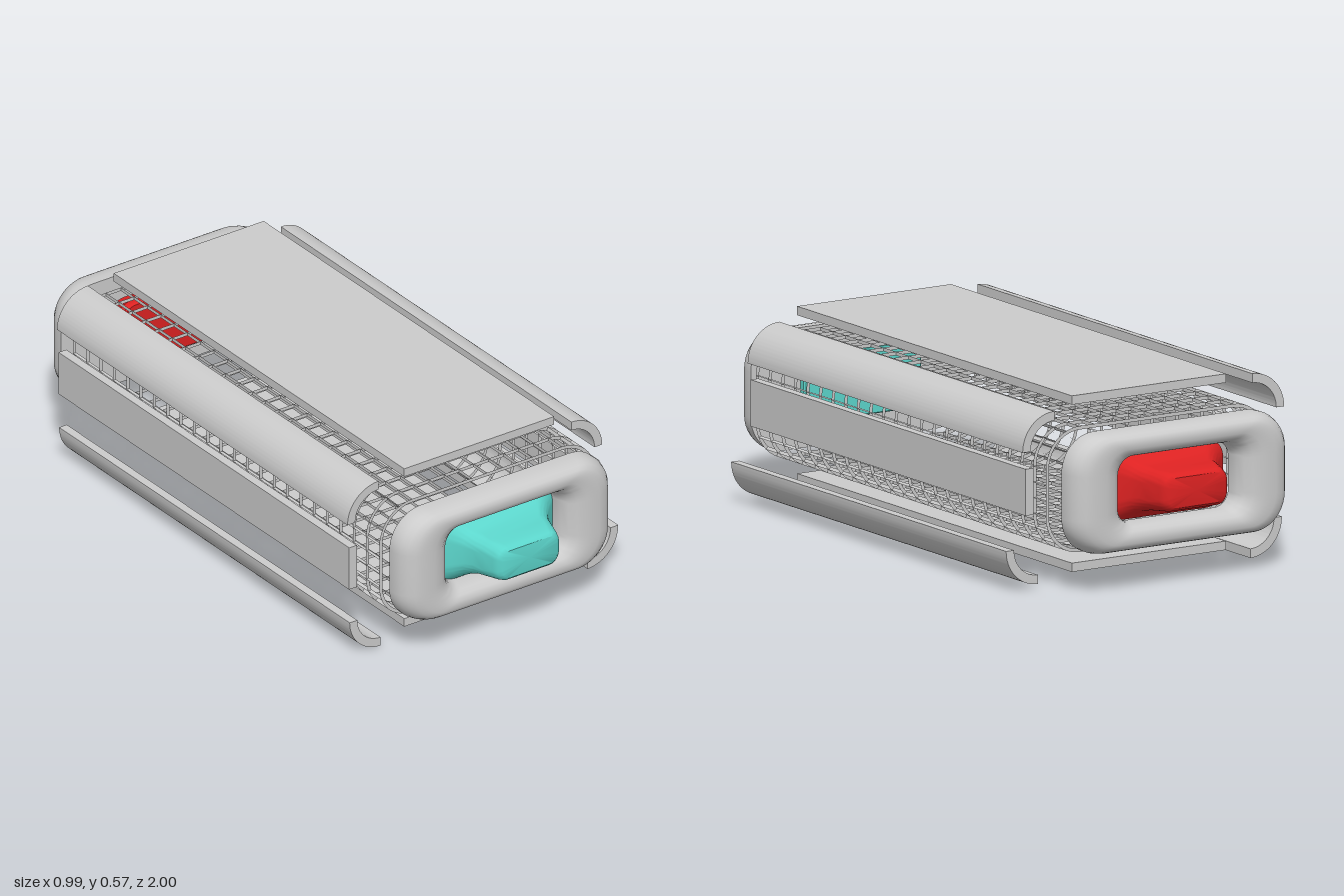
import * as THREE from 'three';
import { mergeGeometries, toCreasedNormals } from 'three/addons/utils/BufferGeometryUtils.js';

const CX = -0.015, CY = 0.303, LENGTH = 1.48;
const grey = new THREE.MeshStandardMaterial({ color: 0xcccccc });
const greyThin = new THREE.MeshStandardMaterial({ color: 0xcccccc, side: THREE.DoubleSide });
const teal = new THREE.MeshStandardMaterial({ color: 0x5cd6cc });
const red = new THREE.MeshStandardMaterial({ color: 0xdd2222 });

// Counter-clockwise rounded rectangle, n segments per corner
function roundedLoop(hx, hy, r, n = 10) {
  const pts = [];
  [[1, 1], [-1, 1], [-1, -1], [1, -1]].forEach(([sx, sy], q) => {
    for (let i = 0; i <= n; i++) {
      const a = (q + i / n) * Math.PI / 2;
      pts.push(new THREE.Vector2(sx * (hx - r) + r * Math.cos(a), sy * (hy - r) + r * Math.sin(a)));
    }
  });
  return pts;
}

// Skin over rounded-rectangle sections [halfX, halfY, radius, z]
function loft(sections) {
  const pos = [], idx = [];
  let m = 0;
  for (const [hx, hy, r, z] of sections) {
    const loop = roundedLoop(hx, hy, r);
    m = loop.length;
    loop.forEach(p => pos.push(p.x, p.y, z));
  }
  for (let j = 0; j < sections.length - 1; j++) {
    for (let i = 0; i < m; i++) {
      const a = j * m + i, b = j * m + (i + 1) % m;
      idx.push(a, b, b + m, a, b + m, a + m);
    }
  }
  const g = new THREE.BufferGeometry();
  g.setAttribute('position', new THREE.Float32BufferAttribute(pos, 3));
  g.setIndex(idx);
  return toCreasedNormals(g, 0.7);
}

// Puffed end frame: profile runs from outer rim (s = 0) to opening (s = 1)
function frameGeometry() {
  const profile = [[0, 0], [0, 0.025], [0.04, 0.047], [0.11, 0.065], [0.21, 0.078], [0.35, 0.084],
    [0.6, 0.084], [0.78, 0.076], [0.9, 0.06], [0.97, 0.04], [1, 0.02], [1, 0], [0, 0]];
  const mix = THREE.MathUtils.lerp;
  return loft(profile.map(([s, z]) => [mix(0.387, 0.208, s), mix(0.184, 0.101, s), mix(0.115, 0.05, s), z]));
}

// Flanged plug flaring down to a blunt knob
function plugGeometry() {
  return loft([[0, 0, 0, 0], [0.205, 0.1, 0.055, 0], [0.21, 0.104, 0.06, 0.005], [0.21, 0.104, 0.06, 0.025],
    [0.203, 0.098, 0.058, 0.033], [0.18, 0.086, 0.05, 0.05], [0.157, 0.073, 0.045, 0.075],
    [0.14, 0.066, 0.042, 0.105], [0.131, 0.063, 0.04, 0.135], [0.119, 0.06, 0.04, 0.175],
    [0.112, 0.055, 0.036, 0.193], [0.1, 0.046, 0.03, 0.202], [0, 0, 0, 0.202]]);
}

// Open lattice of thin hoops and lengthwise fins
function cageGeometry() {
  const HALF = 0.78, HOOPS = 24, parts = [];
  const outer = roundedLoop(0.395, 0.192, 0.12), inner = roundedLoop(0.384, 0.181, 0.109);
  const hoop = new THREE.Shape(outer);
  hoop.holes.push(new THREE.Path(inner));
  const hoopGeo = new THREE.ShapeGeometry(hoop);
  for (let i = 0; i < HOOPS; i++) {
    parts.push(hoopGeo.clone().translate(0, 0, -HALF + 2 * HALF * i / (HOOPS - 1)).toNonIndexed());
  }
  // Fins: evenly spaced along flats and corners
  const fin = (x, y, angle) => {
    const g = new THREE.PlaneGeometry(0.011, 2 * HALF).rotateX(Math.PI / 2);
    g.translate(-0.0055, 0, 0).rotateZ(angle).translate(x, y, 0);
    parts.push(g.toNonIndexed());
  };
  for (let q = 0; q < 4; q++) {
    const sx = q === 0 || q === 3 ? 1 : -1, sy = q < 2 ? 1 : -1;
    for (let i = 0; i <= 4; i++) {
      const a = (q + i / 4) * Math.PI / 2;
      fin(sx * 0.275 + 0.12 * Math.cos(a), sy * 0.072 + 0.12 * Math.sin(a), a);
    }
  }
  for (const s of [-1, 1]) {
    for (let i = 1; i < 10; i++) fin(-0.275 + 0.055 * i, s * 0.192, s * Math.PI / 2);
    for (let i = 1; i < 3; i++) fin(s * 0.395, -0.072 + 0.048 * i, s > 0 ? 0 : Math.PI);
  }
  return mergeGeometries(parts);
}

// Quarter-round corner shell
function cornerGeometry(quadrant) {
  const a0 = quadrant * Math.PI / 2, a1 = a0 + Math.PI / 2;
  const s = new THREE.Shape();
  s.absarc(0, 0, 0.113, a0, a1, false);
  s.absarc(0, 0, 0.085, a1, a0, true);
  s.closePath();
  const g = new THREE.ExtrudeGeometry(s, { depth: LENGTH, bevelEnabled: false, curveSegments: 16 });
  return toCreasedNormals(g.translate(0, 0, -LENGTH / 2), 0.6);
}

export function createModel() {
  const model = new THREE.Group();
  model.name = 'explodedCase';
  const add = (name, geometry, material, x, y, z = 0, parent = model) => {
    const mesh = new THREE.Mesh(geometry, material);
    mesh.name = name;
    mesh.position.set(x, y, z);
    parent.add(mesh);
    return mesh;
  };

  // Flat panels
  const wide = new THREE.BoxGeometry(0.55, 0.027, LENGTH);
  const narrow = new THREE.BoxGeometry(0.028, 0.142, LENGTH);
  add('topPanel', wide, grey, CX, 0.561);
  add('bottomPanel', wide, grey, CX, 0.051);
  add('leftPanel', narrow, grey, 0.412, 0.3);
  add('rightPanel', narrow, grey, -0.478, 0.3);

  // Corner shells, each pulled away by its own offset
  [['topLeftCorner', 0.323, 0.422], ['topRightCorner', -0.385, 0.45],
    ['bottomRightCorner', -0.377, 0.115], ['bottomLeftCorner', 0.382, 0.129]]
    .forEach(([name, x, y], q) => add(name, cornerGeometry(q), grey, x, y));

  add('latticeCage', cageGeometry(), greyThin, CX, 0.298);

  // End caps: frame and coloured plug
  const frame = frameGeometry(), plug = plugGeometry();
  for (const [end, color, frameZ, plugZ, turn] of [
    ['front', teal, 0.82, 0.797, 0], ['back', red, 0.852, 0.798, Math.PI]]) {
    const cap = new THREE.Group();
    cap.name = end + 'End';
    cap.position.set(CX, CY, 0);
    cap.rotation.y = turn;
    add(end + 'Frame', frame, grey, 0, 0, frameZ, cap);
    add(end + 'Plug', plug, color, 0, -0.002, plugZ, cap);
    model.add(cap);
  }
  return model;
}
